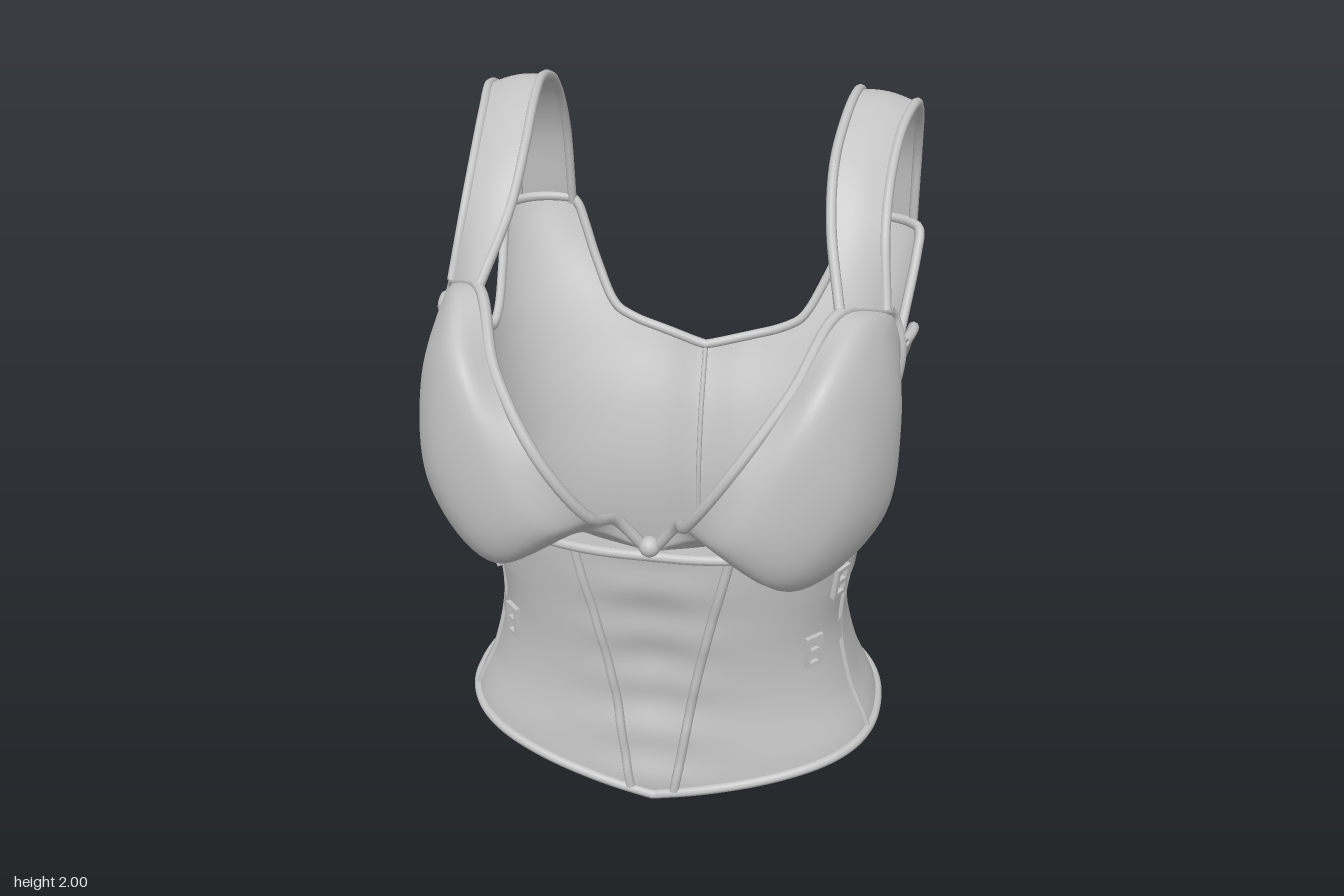
import * as THREE from 'three';

const V = (x, y, z) => new THREE.Vector3(x, y, z);
const SEAM = 1.366;     // angle of the side seam, measured from the front
const BAND = 0.855;     // height of the underbust line

// Smooth interpolation through [position, value] keys
function spline(keys, x) {
  const n = keys.length - 1;
  if (x <= keys[0][0]) return keys[0][1];
  if (x >= keys[n][0]) return keys[n][1];
  let i = 0;
  while (x > keys[i + 1][0]) i++;
  const slope = (k) => {
    const a = keys[Math.max(k - 1, 0)], b = keys[Math.min(k + 1, n)];
    return (b[1] - a[1]) / (b[0] - a[0]);
  };
  const h = keys[i + 1][0] - keys[i][0], t = (x - keys[i][0]) / h, t2 = t * t, t3 = t2 * t;
  return (2 * t3 - 3 * t2 + 1) * keys[i][1] + (t3 - 2 * t2 + t) * h * slope(i)
    + (3 * t2 - 2 * t3) * keys[i + 1][1] + (t3 - t2) * h * slope(i + 1);
}

// Torso profiles by height: half width, front depth, back depth, back squareness
const WIDTH = [[0, 0.66], [0.14, 0.635], [0.3, 0.565], [0.5, 0.522], [0.7, 0.54], [0.85, 0.562], [1.1, 0.605], [1.3, 0.64], [1.52, 0.685]];
const FRONT = [[0, 0.41], [0.14, 0.4], [0.35, 0.38], [0.6, 0.395], [0.85, 0.415], [1.5, 0.4]];
const BACK = [[0, 0.53], [0.14, 0.505], [0.3, 0.455], [0.5, 0.42], [0.7, 0.415], [0.9, 0.455], [1.1, 0.535], [1.3, 0.6], [1.52, 0.65]];
const SQUARE = [[0.14, 2.3], [0.8, 2.5], [1.2, 3.2], [1.5, 7]];
// Hem and top edge by angle from the front
const HEM = [[0, 0.015], [0.58, 0.07], [0.96, 0.108], [1.34, 0.138], [1.5, 0.142]];
const TOP = [[SEAM, 1.43], [1.52, 1.43], [1.65, 1.385], [1.774, 1.285], [1.912, 1.23], [2.02, 1.26], [2.136, 1.35], [2.226, 1.45],
  [2.262, 1.5], [2.29, 1.515], [2.51, 1.515], [2.54, 1.49], [2.575, 1.35], [2.62, 1.22], [2.69, 1.17], [2.87, 1.13], [3.1416, 1.1]];

const bell = (x, w) => Math.exp(-((x / w) ** 2));
const fold = (a) => (Math.abs(a) > Math.PI ? 2 * Math.PI - Math.abs(a) : Math.abs(a));

function torso(a, y) {
  const c = Math.cos(a), s = Math.sin(a), front = c > 0;
  const n = front ? 2.4 : spline(SQUARE, y), depth = spline(front ? FRONT : BACK, y);
  const r = (Math.abs(c / depth) ** n + Math.abs(s / spline(WIDTH, y)) ** n) ** (-1 / n);
  const x = r * s, z = r * c;
  if (!front) return V(x, y, z + 0.035 * bell(x, 0.1));                                       // spine hollow
  return V(x, y, z - 0.025 * bell(x, 0.09) * bell(y - 0.5, 0.25)
    + 0.005 * bell(x, 0.17) * Math.sin((y - 0.36) * 38));                                    // soft front folds
}
function frame(a, y) {
  const t = torso(a + 0.03, y).sub(torso(a - 0.03, y)).normalize();
  const up = torso(a, y + 0.03).sub(torso(a, y - 0.03)).normalize();
  const n = t.clone().cross(up).normalize();
  return { t, up: n.clone().cross(t), n };
}
const onTorso = (a, y, off) => torso(a, y).addScaledVector(frame(a, y).n, off);

export function createModel() {
  const model = new THREE.Group();
  model.name = 'corset';
  const fabric = new THREE.MeshStandardMaterial({ color: 0xc4c4c4, side: THREE.DoubleSide });
  fabric.name = 'grey fabric';

  const add = (name, geo) => {
    const m = new THREE.Mesh(geo, fabric);
    m.name = name;
    model.add(m);
    return m;
  };
  // Surface from a rule over u, v in 0..1
  const sheet = (name, nu, nv, fn) => {
    const pos = [], idx = [];
    for (let i = 0; i <= nu; i++) for (let j = 0; j <= nv; j++) {
      pos.push(...fn(i / nu, j / nv).toArray());
      if (i < nu && j < nv) {
        const a = i * (nv + 1) + j, b = a + nv + 1;
        idx.push(a, b, b + 1, a, b + 1, a + 1);
      }
    }
    const g = new THREE.BufferGeometry();
    g.setAttribute('position', new THREE.Float32BufferAttribute(pos, 3));
    g.setIndex(idx);
    g.computeVertexNormals();
    return add(name, g);
  };
  const curve = (pts) => new THREE.CatmullRomCurve3(pts);
  const piping = (name, pts, r = 0.014, closed = false) =>
    add(name, new THREE.TubeGeometry(new THREE.CatmullRomCurve3(pts, closed), Math.max(40, pts.length * 2), r, 8, closed));
  const sample = (n, fn) => Array.from({ length: n + 1 }, (_, i) => fn(i / n));
  const mix = THREE.MathUtils.lerp;

  // Torso panels
  const backAngle = (u) => mix(SEAM, 2 * Math.PI - SEAM, u);
  const topAt = (a) => spline(TOP, fold(a)), hemAt = (a) => spline(HEM, fold(a));
  sheet('frontPanel', 90, 40, (u, v) => {
    const a = mix(-SEAM, SEAM, u);
    return torso(a, mix(hemAt(a), BAND, v));
  });
  sheet('backPanel', 240, 50, (u, v) => {
    const a = backAngle(u);
    return torso(a, mix(hemAt(a), topAt(a), v));
  });

  // Edge piping
  piping('hemPiping', sample(100, (u) => torso(u * 2 * Math.PI, hemAt(u * 2 * Math.PI))).slice(0, 100), 0.015, true);
  piping('topPiping', sample(200, (u) => torso(backAngle(u), topAt(backAngle(u)))), 0.015);
  piping('underbustPiping', sample(40, (u) => onTorso(mix(-SEAM, SEAM, u), BAND, 0.004)), 0.015);
  piping('backSeam', sample(20, (u) => onTorso(Math.PI, mix(0.14, 1.1, u), 0)), 0.008);
  const knot = add('centreKnot', new THREE.SphereGeometry(0.03, 16, 12));
  knot.position.set(0, 0.885, 0.415);

  // Buckle frame with two windows
  const rect = (S, w, h, y) => {
    const p = new S();
    p.moveTo(-w / 2, y - h / 2); p.lineTo(w / 2, y - h / 2); p.lineTo(w / 2, y + h / 2); p.lineTo(-w / 2, y + h / 2);
    p.closePath();
    return p;
  };
  const outline = rect(THREE.Shape, 0.062, 0.1, 0);
  outline.holes.push(rect(THREE.Path, 0.034, 0.029, 0.022), rect(THREE.Path, 0.034, 0.029, -0.022));
  const buckleGeo = new THREE.ExtrudeGeometry(outline, { depth: 0.014, bevelEnabled: false });
  const buckle = (name, a, y) => {
    const f = frame(a, y), m = add(name, buckleGeo);
    m.applyMatrix4(new THREE.Matrix4().makeBasis(f.t, f.up, f.n).setPosition(onTorso(a, y, 0.01)));
  };
  const belt = (name, a0, a1, y, h) => {
    sheet(name, 40, 4, (u, v) => onTorso(mix(a0, a1, u), y + (v - 0.5) * h, 0.009));
  };
  [0.95, 0.68, 0.4].forEach((y) => {
    belt('backBelt', Math.PI - 0.6, Math.PI + 0.6, y, 0.062);
    buckle('backBuckle', Math.PI, y);
  });

  // Mirrored parts
  for (const s of [1, -1]) {
    const side = s > 0 ? 'left' : 'right';
    const pts = (list) => list.map(([x, y, z]) => V(s * x, y, z));

    // Front belts, bones and side seams
    belt(side + 'UpperBelt', s * 0.664, s * 1.5, 0.705, 0.072);
    buckle(side + 'UpperBuckle', s * 1.2, 0.705);
    belt(side + 'LowerBelt', s * 0.507, s * 1.475, 0.49, 0.072);
    buckle(side + 'LowerBuckle', s * 1.06, 0.49);
    piping(side + 'Bone', sample(16, (u) => onTorso(s * mix(0.161, 0.51, u), mix(0.04, BAND, u), 0.002)), 0.014);
    piping(side + 'SideSeam', sample(16, (u) => onTorso(s * SEAM, mix(0.14, BAND, u), 0)), 0.011);

    // Cup, lofted from the neckline edge over the bulge to the base seam
    const seam = (y) => torso(s * SEAM, y);
    const neckline = pts([[0.6, 1.53, 0.16], [0.48, 1.565, 0.3], [0.385, 1.425, 0.51], [0.25, 1.235, 0.617], [0.13, 1.05, 0.57], [0.085, 0.98, 0.45], [0.02, 0.885, 0.41]]);
    const base = [V(s * 0.615, 1.5, 0.13), seam(1.4), seam(1.15), seam(0.98), ...pts([[0.42, 0.93, 0.28], [0.2, 0.9, 0.39], [0.02, 0.87, 0.41]])];
    const rows = [
      neckline,
      pts([[0.604, 1.523, 0.154], [0.54, 1.555, 0.33], [0.465, 1.46, 0.555], [0.37, 1.22, 0.645], [0.24, 1.02, 0.635], [0.12, 0.97, 0.47], [0.02, 0.882, 0.41]]),
      pts([[0.608, 1.516, 0.147], [0.595, 1.515, 0.27], [0.575, 1.4, 0.475], [0.54, 1.11, 0.575], [0.37, 0.91, 0.6], [0.165, 0.95, 0.475], [0.02, 0.878, 0.41]]),
      pts([[0.612, 1.508, 0.14], [0.628, 1.46, 0.19], [0.658, 1.26, 0.3], [0.625, 1.0, 0.36], [0.42, 0.848, 0.49], [0.195, 0.925, 0.44], [0.02, 0.874, 0.41]]),
      base,
    ].map(curve);
    sheet(side + 'Cup', 60, 40, (u, v) => curve(rows.map((r) => r.getPoint(u))).getPoint(v));
    piping(side + 'CupPiping', neckline, 0.016);
    piping(side + 'CupSeam', [neckline[0], ...base.slice(0, 4), seam(BAND)], 0.014);

    // Band between the cup and the underbust line
    sheet(side + 'BustBand', 40, 4, (u, v) =>
      rows[4].getPoint(0.5 + u / 2).lerp(torso(s * SEAM * (1 - u), BAND), v));

    // Shoulder strap with piped edges
    const inner = pts([[0.48, 1.575, 0.3], [0.435, 1.74, 0.13], [0.425, 1.87, 0], [0.44, 1.96, -0.17], [0.455, 1.985, -0.32], [0.46, 1.93, -0.48], [0.46, 1.77, -0.59], [0.46, 1.5, -0.64]]);
    const outer = pts([[0.595, 1.54, 0.19], [0.575, 1.72, 0.1], [0.575, 1.84, -0.02], [0.59, 1.925, -0.17], [0.615, 1.955, -0.32], [0.625, 1.9, -0.47], [0.625, 1.75, -0.57], [0.625, 1.5, -0.6]]);
    const ci = curve(inner), co = curve(outer);
    sheet(side + 'Strap', 60, 8, (u, v) => {
      const p = ci.getPoint(u).lerp(co.getPoint(u), v), bulge = 0.012 * Math.sin(Math.PI * v);
      const t = ci.getTangent(u);
      return p.add(V(0, -t.z * bulge, t.y * bulge));
    });
    piping(side + 'StrapInnerPiping', inner, 0.014);
    piping(side + 'StrapOuterPiping', outer, 0.014);
  }
  return model;
}
